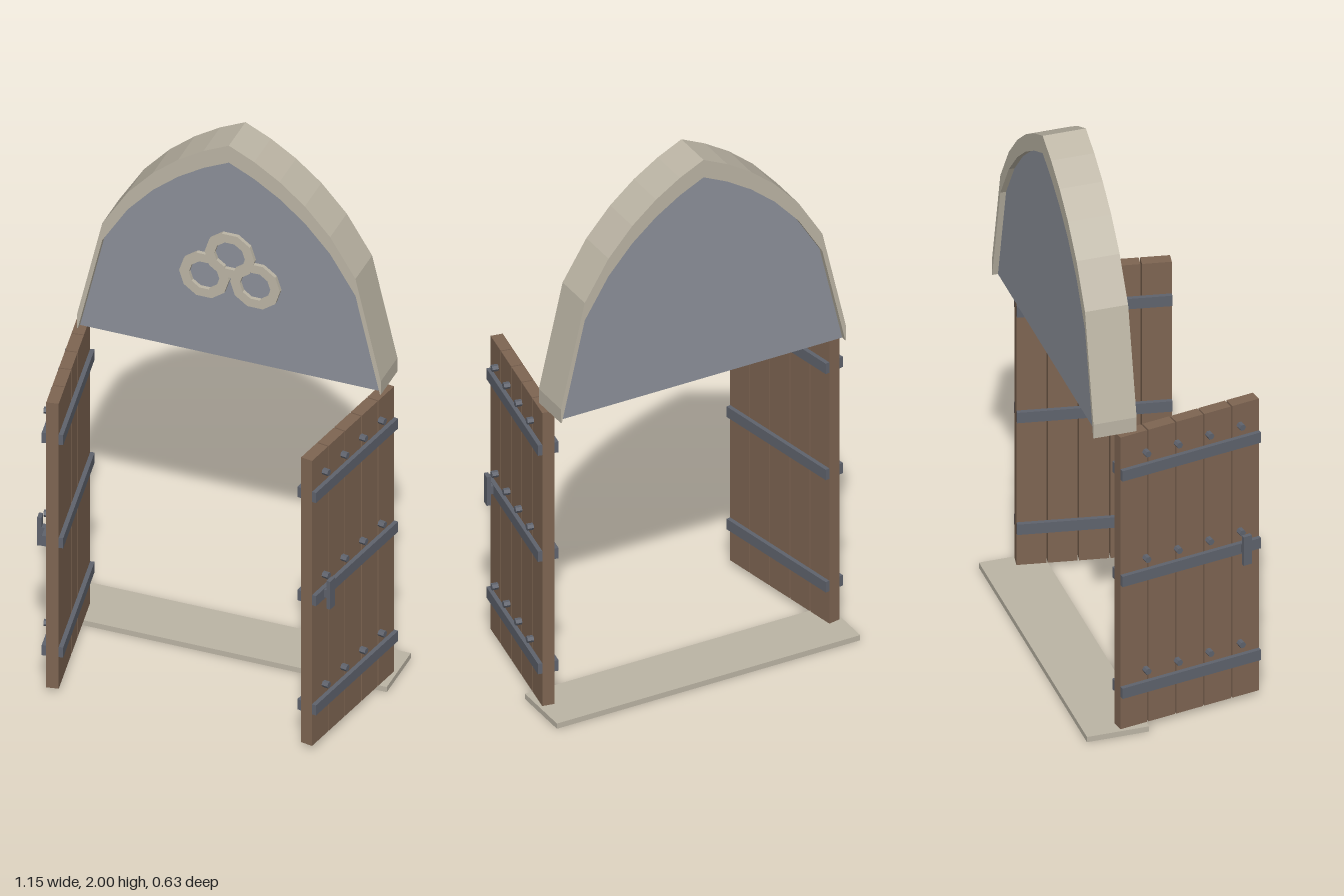
import * as THREE from 'three';

const mat = (name, color) => {
  const m = new THREE.MeshStandardMaterial({ color });
  m.name = name;
  return m;
};

export function createModel() {
  const stone = mat('paleStone', 0xbcb5a5);
  const slate = mat('slatePanel', 0x8c9099);
  const wood = mat('brownWood', 0x7e6552);
  const iron = mat('darkIron', 0x5f636d);

  const model = new THREE.Group();
  model.name = 'archedGateway';

  const add = (parent, name, geometry, material, x = 0, y = 0, z = 0) => {
    const mesh = new THREE.Mesh(geometry, material);
    mesh.name = name;
    mesh.position.set(x, y, z);
    parent.add(mesh);
    return mesh;
  };
  const box = (w, h, d) => new THREE.BoxGeometry(w, h, d);
  const extrude = (shape, depth) =>
    new THREE.ExtrudeGeometry(shape, { depth, bevelEnabled: false, curveSegments: 1 });

  // Threshold slab
  add(model, 'threshold', box(1.14, 0.02, 0.215), stone, 0, 0.01, -0.208);

  // Pointed arch outline: two circular arcs, six straight steps each
  const half = 0.536, spring = 1.2, rise = 0.8, base = 1.147;
  const centre = (rise * rise - half * half) / (2 * half);
  const radius = centre + half;
  const arch = (drop) => {
    const points = [];
    for (let i = -6; i <= 6; i++) {
      const x = (half * i) / 6;
      const dx = Math.abs(x) + centre;
      const y = spring - drop + Math.sqrt(Math.max(0, radius * radius - dx * dx));
      points.push(new THREE.Vector2(x, y));
    }
    return points;
  };
  const outer = arch(0);
  const inner = arch(0.067);
  // Trim the inner outline to the underside of the arch
  const t = (base - inner[0].y) / (inner[1].y - inner[0].y);
  inner[0].lerp(inner[1], t);
  inner[12].lerp(inner[11], t);

  const frame = new THREE.Shape([
    new THREE.Vector2(-half, base), ...outer, new THREE.Vector2(half, base),
    ...inner.slice().reverse(),
  ]);
  add(model, 'archFrame', extrude(frame, 0.149), stone, 0, 0, -0.282);
  add(model, 'archPanel', extrude(new THREE.Shape(inner), 0.109), slate, 0, 0, -0.262);

  // Three linked rings on the front of the panel
  const polygon = (r, n) => Array.from({ length: n }, (_, i) =>
    new THREE.Vector2(r * Math.cos((i * 2 * Math.PI) / n), r * Math.sin((i * 2 * Math.PI) / n)));
  const ringShape = new THREE.Shape(polygon(0.088, 10));
  ringShape.holes.push(new THREE.Path(polygon(0.054, 10)));
  const ringGeometry = extrude(ringShape, 0.015);
  for (const [x, y] of [[0, 1.558], [-0.09, 1.461], [0.09, 1.461]]) {
    add(model, 'ringOrnament', ringGeometry, stone, x, y, -0.154);
  }

  // Doors, hinged open; s = +1 is the model's left
  const plankGeometry = box(0.042, 1.127, 0.099);
  const strapGeometry = box(0.015, 0.04, 0.515);
  const nailGeometry = new THREE.CylinderGeometry(0.012, 0.012, 0.022, 6).toNonIndexed();
  nailGeometry.rotateZ(Math.PI / 2);
  nailGeometry.computeVertexNormals();

  for (const s of [1, -1]) {
    const door = new THREE.Group();
    door.name = s > 0 ? 'leftDoor' : 'rightDoor';
    door.position.set(s * 0.493, 0, 0.054);
    door.rotation.y = -s * THREE.MathUtils.degToRad(10);
    model.add(door);

    for (let i = -2; i <= 2; i++) {
      add(door, 'plank', plankGeometry, wood, 0, 0.5835, i * 0.104);
    }
    for (const y of [0.165, 0.597, 1.005]) {
      // Straps on both faces, nails above the outer ones
      for (const face of [1, -1]) {
        add(door, 'strap', strapGeometry, iron, face * 0.0285, y, 0);
      }
      for (let i = 0; i < 4; i++) {
        add(door, 'nail', nailGeometry, iron, s * 0.032, y + 0.062, -0.165 + i * 0.117);
      }
    }
    // Handle: mount and upright grip on the outer face
    add(door, 'handleMount', box(0.02, 0.03, 0.024), iron, s * 0.044, 0.6, 0.195);
    add(door, 'handleGrip', box(0.014, 0.11, 0.03), iron, s * 0.054, 0.6, 0.195);
  }

  return model;
}
